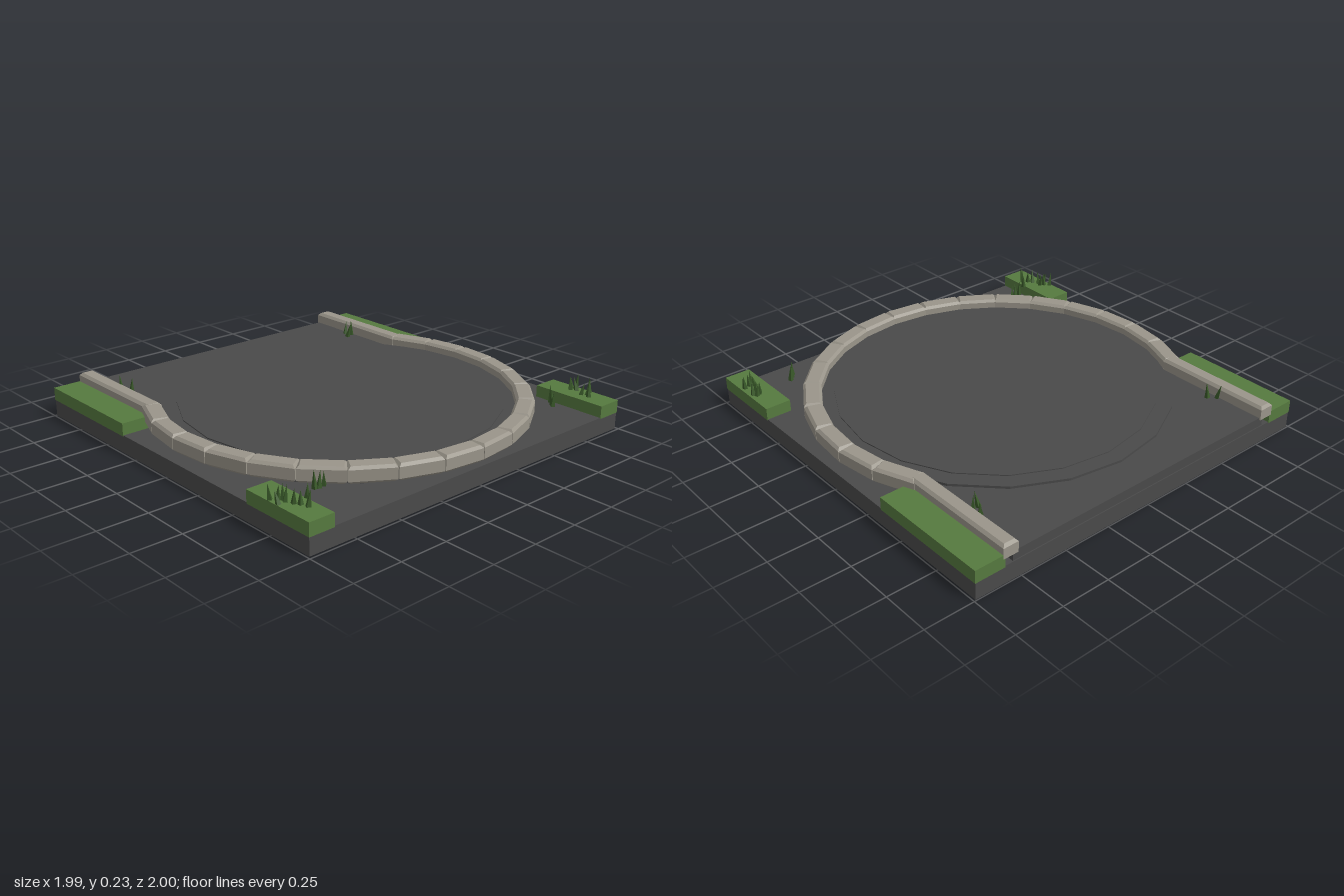
import * as THREE from 'three';

const material = (color) => new THREE.MeshStandardMaterial({ color, flatShading: true });

export function createModel() {
  const group = new THREE.Group();
  const asphalt = material(0x4a4a4a);
  const paving = material(0x4a4a4a);
  const stone = material(0x9a958a);
  const grass = material(0x567a3f);
  const blade = material(0x3a5a2a);

  const add = (name, geometry, mat, x, y, z, parent = group) => {
    const mesh = new THREE.Mesh(geometry, mat);
    mesh.name = name;
    mesh.position.set(x, y, z);
    parent.add(mesh);
    return mesh;
  };
  // Box given by its min and max corners
  const block = (name, mat, x0, x1, y0, y1, z0, z1) =>
    add(name, new THREE.BoxGeometry(x1 - x0, y1 - y0, z1 - z0), mat,
      (x0 + x1) / 2, (y0 + y1) / 2, (z0 + z1) / 2);

  // Chamfered kerb stone lying along z, centred on its middle
  const kerbGeometry = (width, height, length, bevel = 0.013) => {
    const w = width / 2 - bevel, l = length / 2 - bevel;
    const shape = new THREE.Shape([
      new THREE.Vector2(-w, -l), new THREE.Vector2(w, -l),
      new THREE.Vector2(w, l), new THREE.Vector2(-w, l),
    ]);
    const g = new THREE.ExtrudeGeometry(shape, {
      depth: height - 2 * bevel, bevelEnabled: true, bevelSegments: 1,
      bevelSize: bevel, bevelThickness: bevel,
    });
    g.rotateX(-Math.PI / 2);
    g.center();
    return g;
  };

  // Ground slab, raised road strip and stepped round court
  block('groundSlab', asphalt, -0.99, 0.99, 0, 0.09, -0.995, 0.985);
  block('roadStrip', asphalt, -0.79, 0.79, 0.085, 0.138, -0.99, -0.35);
  add('roundCourt', new THREE.CylinderGeometry(0.88, 0.88, 0.065, 20), paving, 0, 0.1175, 0.055);
  add('courtCentre', new THREE.CylinderGeometry(0.8, 0.8, 0.01, 20), paving, 0, 0.15, 0.055);

  // Raised grass beds in the corners
  for (const s of [-1, 1]) {
    const bed = (name, inner, z0, z1) =>
      block(name, grass, Math.min(s * inner, s * 0.992), Math.max(s * inner, s * 0.992), 0.085, 0.15, z0, z1);
    bed('backGrassBed', 0.835, -0.997, -0.355);
    bed('frontGrassBed', 0.86, 0.59, 0.987);
  }

  // Curved kerb: eighteen stones open towards the back
  const kerb = new THREE.Group();
  kerb.name = 'curvedKerb';
  group.add(kerb);
  const radius = 0.914, centreZ = 0.04, step = THREE.MathUtils.degToRad(13.1);
  const stoneGeometry = kerbGeometry(0.09, 0.08, 2 * radius * Math.sin(step / 2) + 0.006);
  const mid = radius * Math.cos(step / 2);
  for (let i = -9; i < 9; i++) {
    const a = (i + 0.5) * step;
    const m = add('kerbStone', stoneGeometry, stone,
      Math.sin(a) * mid, 0.155, centreZ + Math.cos(a) * mid, kerb);
    m.rotation.y = a + Math.PI / 2;
  }

  // Straight kerbs along the road
  const straight = kerbGeometry(0.08, 0.08, 0.635);
  for (const s of [-1, 1]) add('straightKerb', straight, stone, s * 0.805, 0.156, -0.68);

  // Grass tufts: [base height, list of x, z]
  const tufts = [
    [0.148, [[-0.98, 0.73], [-0.96, 0.755], [-0.98, 0.785], [-0.945, 0.785], [-0.94, 0.765]]],
    [0.148, [[-0.915, 0.845], [-0.905, 0.88], [-0.89, 0.865], [-0.855, 0.815], [-0.93, 0.82]]],
    [0.148, [[0.94, 0.74], [0.96, 0.73], [0.97, 0.75], [0.95, 0.77]]],
    [0.148, [[0.94, 0.84], [0.97, 0.83], [0.92, 0.865], [0.92, 0.82]]],
    [0.14, [[-0.765, 0.755], [-0.745, 0.76], [-0.715, 0.755]]],
    [0.14, [[0.745, 0.77], [0.725, 0.795], [0.71, 0.81]]],
    [0.14, [[-0.755, -0.735], [-0.72, -0.705]]],
    [0.14, [[0.73, -0.715], [0.745, -0.68], [0.705, -0.67]]],
  ];
  const bladeGeometry = new THREE.ConeGeometry(0.014, 1, 4).translate(0, 0.5, 0);
  let n = 0;
  for (const [y, points] of tufts) {
    const tuft = new THREE.Group();
    tuft.name = 'grassTuft';
    group.add(tuft);
    for (const [x, z] of points) {
      const m = add('grassBlade', bladeGeometry, blade, x, y, z, tuft);
      m.scale.y = 0.228 - y - (n % 3) * 0.008;
      m.rotation.set(Math.sin(n * 2.3) * 0.15, n * 1.1, Math.cos(n * 1.7) * 0.15);
      n++;
    }
  }
  return group;
}
